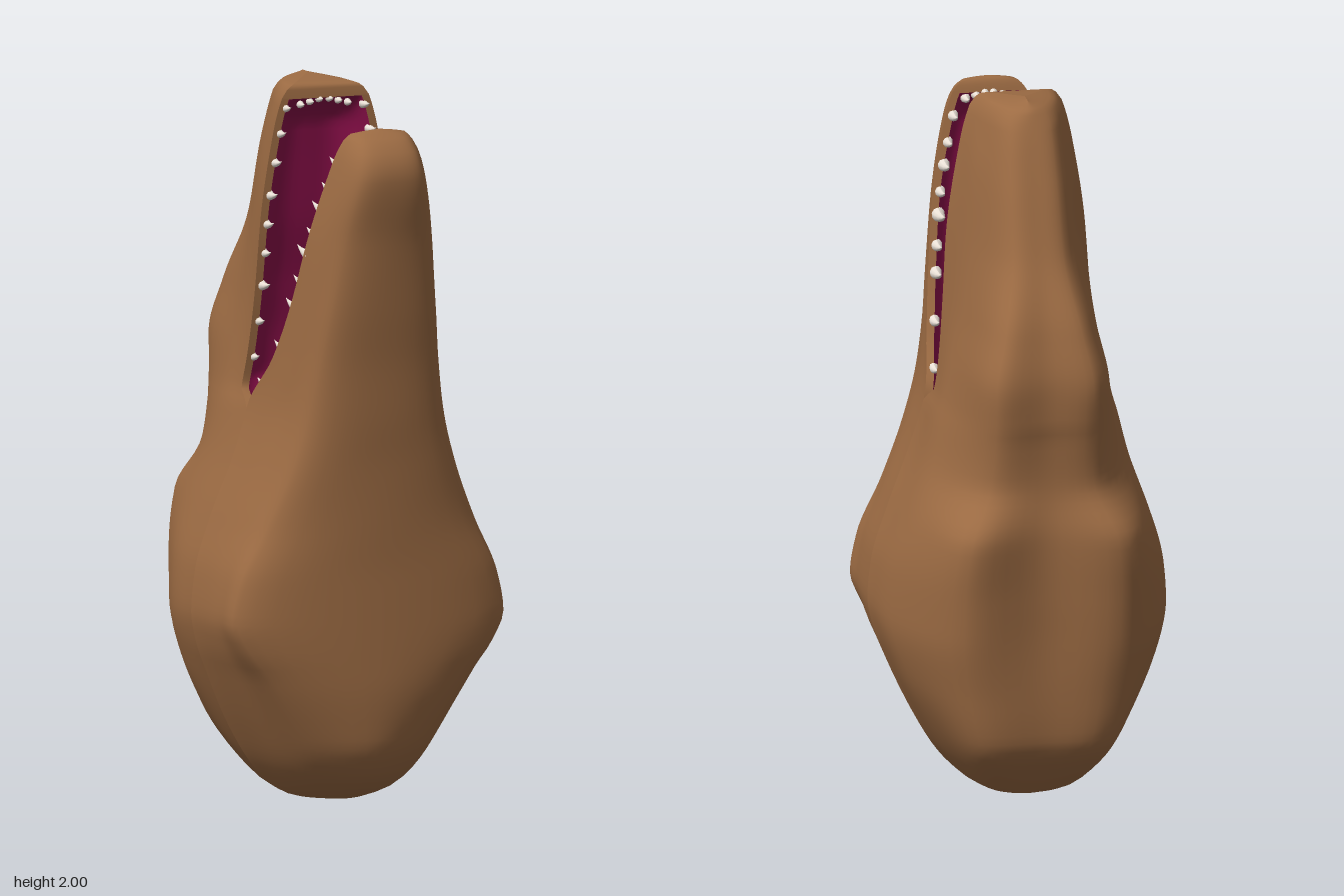
import * as THREE from 'three';
import { mergeGeometries, mergeVertices } from 'three/addons/utils/BufferGeometryUtils.js';

const CORNER = 1.1; // height of the mouth corner
const clamp = THREE.MathUtils.clamp, lerp = THREE.MathUtils.lerp;

// Chin side: height, seam z, half width, corner x, corner z, centre z
const LOWER = [
  [0, 0, 0, 0, 0, 0],
  [0.015, 0, 0.11, 0.06, 0.12, 0.15],
  [0.08, 0, 0.2, 0.12, 0.25, 0.31],
  [0.2, 0, 0.28, 0.18, 0.32, 0.385],
  [0.38, 0.02, 0.365, 0.29, 0.34, 0.4],
  [0.46, 0.025, 0.395, 0.355, 0.335, 0.4],
  [0.54, 0.03, 0.41, 0.392, 0.33, 0.4],
  [0.65, 0.03, 0.4, 0.37, 0.335, 0.4],
  [0.8, 0.03, 0.355, 0.295, 0.345, 0.405],
  [0.97, 0.04, 0.29, 0.225, 0.37, 0.413],
  [1.1, 0.04, 0.25, 0.19, 0.385, 0.425],
  [1.25, 0.155, 0.22, 0.165, 0.405, 0.437],
  [1.4, 0.235, 0.2, 0.145, 0.43, 0.457],
  [1.6, 0.305, 0.175, 0.115, 0.46, 0.483],
  [1.79, 0.357, 0.132, 0.085, 0.497, 0.512],
  [1.86, 0.375, 0.11, 0.07, 0.475, 0.487],
  [1.9, 0.387, 0.08, 0.05, 0.425, 0.432],
  [1.912, 0.4, 0, 0, 0.4, 0.4],
];
// Brow side: height, seam z, half width, side x, side z, ridge x, ridge z, centre z
const UPPER = [
  [0, 0, 0, 0, 0, 0, 0, 0],
  [0.015, 0, 0.11, 0.095, -0.08, 0.055, -0.15, -0.17],
  [0.08, 0, 0.2, 0.175, -0.15, 0.12, -0.28, -0.3],
  [0.23, 0, 0.295, 0.27, -0.2, 0.18, -0.42, -0.435],
  [0.38, 0.02, 0.365, 0.34, -0.21, 0.215, -0.44, -0.45],
  [0.54, 0.03, 0.41, 0.385, -0.18, 0.235, -0.465, -0.455],
  [0.65, 0.03, 0.4, 0.375, -0.2, 0.235, -0.48, -0.46],
  [0.82, 0.03, 0.35, 0.325, -0.26, 0.22, -0.502, -0.465],
  [0.97, 0.04, 0.29, 0.275, -0.22, 0.155, -0.44, -0.45],
  [1.1, 0.04, 0.25, 0.248, -0.19, 0.145, -0.455, -0.46],
  [1.15, -0.035, 0.235, 0.235, -0.18, 0.145, -0.465, -0.47],
  [1.25, -0.025, 0.22, 0.214, -0.18, 0.145, -0.478, -0.475],
  [1.4, -0.01, 0.207, 0.182, -0.18, 0.115, -0.445, -0.445],
  [1.6, 0, 0.194, 0.152, -0.17, 0.075, -0.35, -0.362],
  [1.8, 0, 0.165, 0.135, -0.14, 0.068, -0.28, -0.292],
  [1.95, 0, 0.128, 0.11, -0.1, 0.06, -0.215, -0.232],
  [1.98, -0.005, 0.1, 0.088, -0.1, 0.045, -0.19, -0.215],
  [2, -0.13, 0, 0, -0.14, 0, -0.16, -0.17],
];

// Smooth interpolation between stations that never overshoots
function sample(rows, y) {
  let i = 0;
  while (i < rows.length - 2 && y > rows[i + 1][0]) i++;
  const slope = (k, c) => (rows[k + 1][c] - rows[k][c]) / (rows[k + 1][0] - rows[k][0]);
  const tangent = (k, c) => {
    if (k === 0) return slope(0, c);
    if (k === rows.length - 1) return slope(k - 1, c);
    const a = slope(k - 1, c), b = slope(k, c);
    return a * b <= 0 ? 0 : (2 * a * b) / (a + b);
  };
  const h = rows[i + 1][0] - rows[i][0], t = clamp((y - rows[i][0]) / h, 0, 1);
  return rows[i].map((p, c) => {
    const q = rows[i + 1][c], t2 = t * t, t3 = t2 * t;
    return p * (2 * t3 - 3 * t2 + 1) + q * (3 * t2 - 2 * t3)
      + h * (tangent(i, c) * (t3 - 2 * t2 + t) + tangent(i + 1, c) * (t3 - t2));
  });
}
const lowerAt = (y) => sample(LOWER, y);
function upperAt(y) {
  const s = sample(UPPER, y);
  if (y <= CORNER) [, s[1], s[2]] = lowerAt(y); // both halves share the seam below the mouth
  return s;
}

// Mirrored smooth arc through half-section points; the last point lies on x = 0
function arc(half, y, side, n) {
  const pts = half.map(([x, z]) => new THREE.Vector3(side * x, y, z));
  const back = half.slice(0, -1).reverse().map(([x, z]) => new THREE.Vector3(-side * x, y, z));
  return new THREE.CatmullRomCurve3([...pts, ...back]).getPoints(n);
}

// Surface through equal-length sections
function loft(sections) {
  const n = sections[0].length, index = [];
  for (let i = 0; i < sections.length - 1; i++) {
    for (let j = 0; j < n - 1; j++) {
      const a = i * n + j, c = a + n;
      index.push(a, c, a + 1, a + 1, c, c + 1);
    }
  }
  const g = new THREE.BufferGeometry().setFromPoints(sections.flat());
  g.setIndex(index);
  g.computeVertexNormals();
  return g;
}
const heights = (a, b, n) => Array.from({ length: n + 1 }, (_, i) => lerp(a, b, i / n));

export function createModel() {
  const model = new THREE.Group();
  const material = (color) => new THREE.MeshStandardMaterial({ color, side: THREE.DoubleSide });
  const skin = material(0x9c6b43), flesh = material(0x8c0f4a);
  const pink = material(0xb06c78), ivory = material(0xe9e0d6);
  const add = (parent, name, geometry, mat) => {
    const mesh = new THREE.Mesh(geometry, mat);
    mesh.name = name;
    parent.add(mesh);
  };

  // Skin: chin half and brow half, welded along the seam below the mouth
  const base = [0, 0.004, 0.009, 0.015, 0.03, 0.05, ...heights(0.08, CORNER, 40)];
  const lowerYs = [...base, ...heights(CORNER, 1.88, 30).slice(1), 1.89, 1.9, 1.906, 1.91, 1.912];
  const upperYs = [...base, ...heights(CORNER, 1.97, 40).slice(1), 1.98, 1.985, 1.99, 1.995, 1.998, 2];
  const chin = lowerYs.map((y) => {
    const [, s, w, cx, cz, zf] = lowerAt(y);
    return arc([[w, s], [lerp(w, cx, 0.3), lerp(s, cz, 0.6)], [cx, cz], [0, zf]], y, 1, 36);
  });
  const brow = upperYs.map((y) => {
    const [, s, w, sx, sz, rx, rz, zb] = upperAt(y);
    return arc([[w, s], [sx, sz], [rx, rz], [0, zb]], y, -1, 36);
  });
  const hide = mergeVertices(mergeGeometries([loft(chin), loft(brow)]), 1e-4);
  hide.computeVertexNormals();
  add(model, 'headSkin', hide, skin);

  // Mouth lining, lips and teeth of each jaw
  const jaws = [
    { name: 'lowerJaw', at: lowerAt, ys: lowerYs, side: -1, tip: 1.87, depth: 0.5, centre: 5,
      teeth: [[1.17, 0.055], [1.28, 0.07], [1.4, 0.085], [1.47, 0.075], [1.55, 0.1],
        [1.61, 0.07], [1.68, 0.085], [1.74, 0.065], [1.81, 0.07]], front: [0.012, 0.036, 0.066], frontLength: 0.045 },
    { name: 'upperJaw', at: upperAt, ys: upperYs, side: 1, tip: 1.945, depth: 0.42, centre: 7,
      teeth: [[1.23, 0.04], [1.33, 0.045], [1.43, 0.06], [1.52, 0.045], [1.6, 0.05],
        [1.68, 0.055], [1.77, 0.05], [1.85, 0.045], [1.92, 0.04]], front: [0.015, 0.042, 0.07], frontLength: 0.022 },
  ];
  for (const jaw of jaws) {
    const group = new THREE.Group();
    group.name = jaw.name;
    model.add(group);
    const inner = (w) => Math.max(0, w - 0.022);

    // Lining runs from a closed throat to the jaw tip
    const lining = [...heights(0.75, CORNER, 10), ...jaw.ys.filter((y) => y > CORNER && y < jaw.tip), jaw.tip].map((y) => {
      const row = jaw.at(y), s = row[1];
      const throat = Math.sqrt(clamp((y - 0.75) / 0.3, 0, 1));
      const d = (row[jaw.centre] - s) * jaw.depth * throat * Math.sqrt(clamp((jaw.tip - y) / 0.07, 0, 1));
      const w = inner(row[2]) * throat;
      return arc([[w, s], [w * 0.85, s + d * 0.6], [w * 0.5, s + d * 0.95], [0, s + d]], y, jaw.side, 24);
    });
    add(group, jaw.name + 'Lining', loft(lining), flesh);

    // Lips along both edges, closed across the tip
    const strip = (ys, x0, x1) => loft(ys.map((y) => {
      const [, s, w] = jaw.at(y);
      return [new THREE.Vector3(x0(w), y, s), new THREE.Vector3(x1(w), y, s)];
    }));
    const edge = [...jaw.ys.filter((y) => y >= CORNER && y < jaw.tip), jaw.tip];
    const end = [jaw.tip, ...jaw.ys.filter((y) => y > jaw.tip)];
    add(group, jaw.name + 'Lips', mergeGeometries([
      strip(edge, (w) => w, inner),
      strip(edge, (w) => -w, (w) => -inner(w)),
      strip(end, (w) => -w, (w) => w),
    ]), skin);

    // Curved teeth, tips leaning towards the throat
    const tooth = (x, y, length) => {
      const g = new THREE.ConeGeometry(0.008 + length * 0.13, length + 0.012, 10, 4);
      g.translate(0, length / 2 - 0.006, 0);
      const p = g.attributes.position;
      for (let i = 0; i < p.count; i++) {
        const t = Math.max(0, p.getY(i) / length);
        p.setZ(i, p.getZ(i) - jaw.side * 0.22 * length * t * t);
      }
      g.computeVertexNormals();
      g.rotateX(jaw.side * Math.PI / 2);
      g.translate(x, y, jaw.at(y)[1]);
      return g;
    };
    const teeth = [];
    for (const m of [-1, 1]) {
      for (const [y, length] of jaw.teeth) teeth.push(tooth(m * (jaw.at(y)[2] - 0.022), y, length));
      for (const x of jaw.front) teeth.push(tooth(m * x, jaw.tip - x * 0.25, jaw.frontLength));
    }
    add(group, jaw.name + 'Teeth', mergeGeometries(teeth), ivory);
  }

  // Tongue: flattened ball bent along the lower jaw, tip curling up
  const tongue = new THREE.SphereGeometry(1, 28, 24);
  const p = tongue.attributes.position;
  for (let i = 0; i < p.count; i++) {
    const t = p.getY(i), y = 1.32 + 0.37 * t;
    const bend = lowerAt(y)[1] + 0.05 - 0.06 * Math.max(0, t) ** 2;
    const width = 0.125 - 0.03 * t;
    p.setXYZ(i, p.getX(i) * width, y, p.getZ(i) * 0.032 + bend);
  }
  tongue.computeVertexNormals();
  add(model, 'tongue', tongue, pink);
  return model;
}
